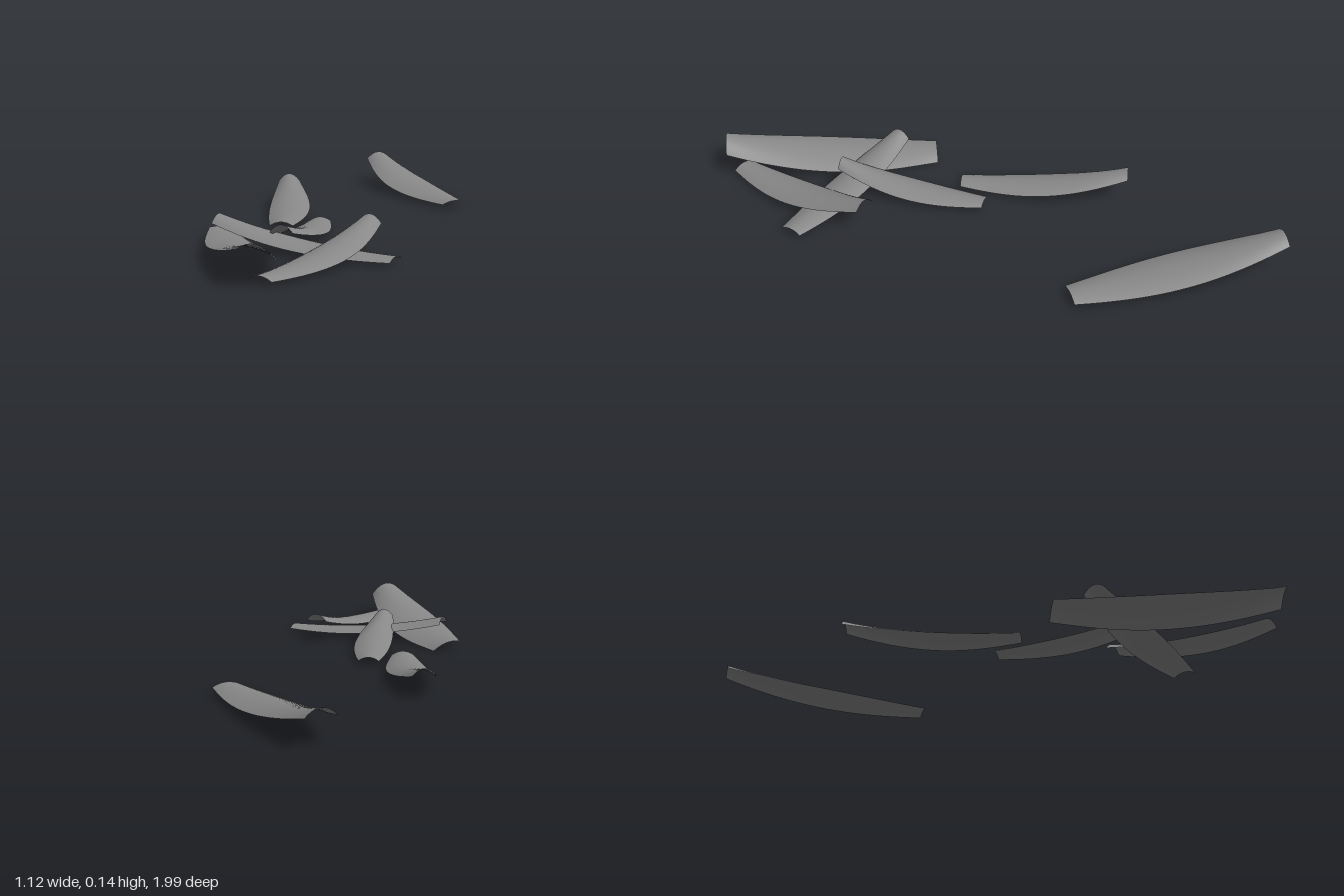
import * as THREE from 'three';

// Each leaf: raised end [x, z], resting end [x, z], widths, heights, sideways bow, roll
const LEAVES = [
  { from: [0.385, -0.995], to: [0.508, -0.212], mid: 0.2, end: 0.108, top: 0.13, low: 0.03, bow: -0.01, roll: 0 },
  { from: [-0.102, -0.538], to: [-0.24, 0.088], mid: 0.155, end: 0.084, top: 0.11, low: 0.027, bow: 0.017, roll: 0 },
  { from: [-0.315, 0.545], to: [-0.08, 0.015], mid: 0.145, end: 0.078, top: 0.105, low: 0.028, bow: -0.013, roll: 0 },
  { from: [0, 0.468], to: [-0.445, 0.935], mid: 0.16, end: 0.09, top: 0.116, low: 0.028, bow: 0.02, roll: 0 },
  { from: [-0.462, 0.99], to: [-0.452, 0.165], mid: 0.208, end: 0.11, top: 0.135, low: 0.031, bow: 0, roll: 0.017 },
  { from: [-0.49, 0.31], to: [0.02, 0.745], mid: 0.155, end: 0.09, top: 0.108, low: 0.026, bow: 0, roll: 0 },
];

// Thin arched sheet, widest in the middle, sweeping up towards one end
function leafGeometry({ from, to, mid, end, top, low, bow, roll }) {
  const geo = new THREE.PlaneGeometry(1, 1, 12, 28).rotateX(-Math.PI / 2);
  const pos = geo.attributes.position;
  const a = new THREE.Vector2(...from);
  const d = new THREE.Vector2(...to).sub(a);
  const len = d.length();
  const side = new THREE.Vector2(d.y / len, -d.x / len);
  for (let i = 0; i < pos.count; i++) {
    const u = pos.getX(i) * 2;
    const t = pos.getZ(i) + 0.5;
    const swell = Math.max(0, Math.sin(Math.PI * t));
    const across = (u * (end + (mid - end) * swell)) / 2 + bow * swell;
    const arch = (0.028 - 0.014 * t) * u * u;
    const y = low + (top - low) * Math.pow(1 - t, 2.2) - arch + roll * u;
    pos.setXYZ(i, a.x + d.x * t + side.x * across, Math.max(0, y), a.y + d.y * t + side.y * across);
  }
  geo.computeVertexNormals();
  return geo;
}

export function createModel() {
  const group = new THREE.Group();
  group.name = 'scatteredLeaves';
  const grey = new THREE.MeshStandardMaterial({ color: 0x888888, side: THREE.DoubleSide });
  grey.name = 'leafGrey';
  LEAVES.forEach((leaf, i) => {
    const mesh = new THREE.Mesh(leafGeometry(leaf), grey);
    mesh.name = `leaf${i + 1}`;
    group.add(mesh);
  });
  return group;
}
